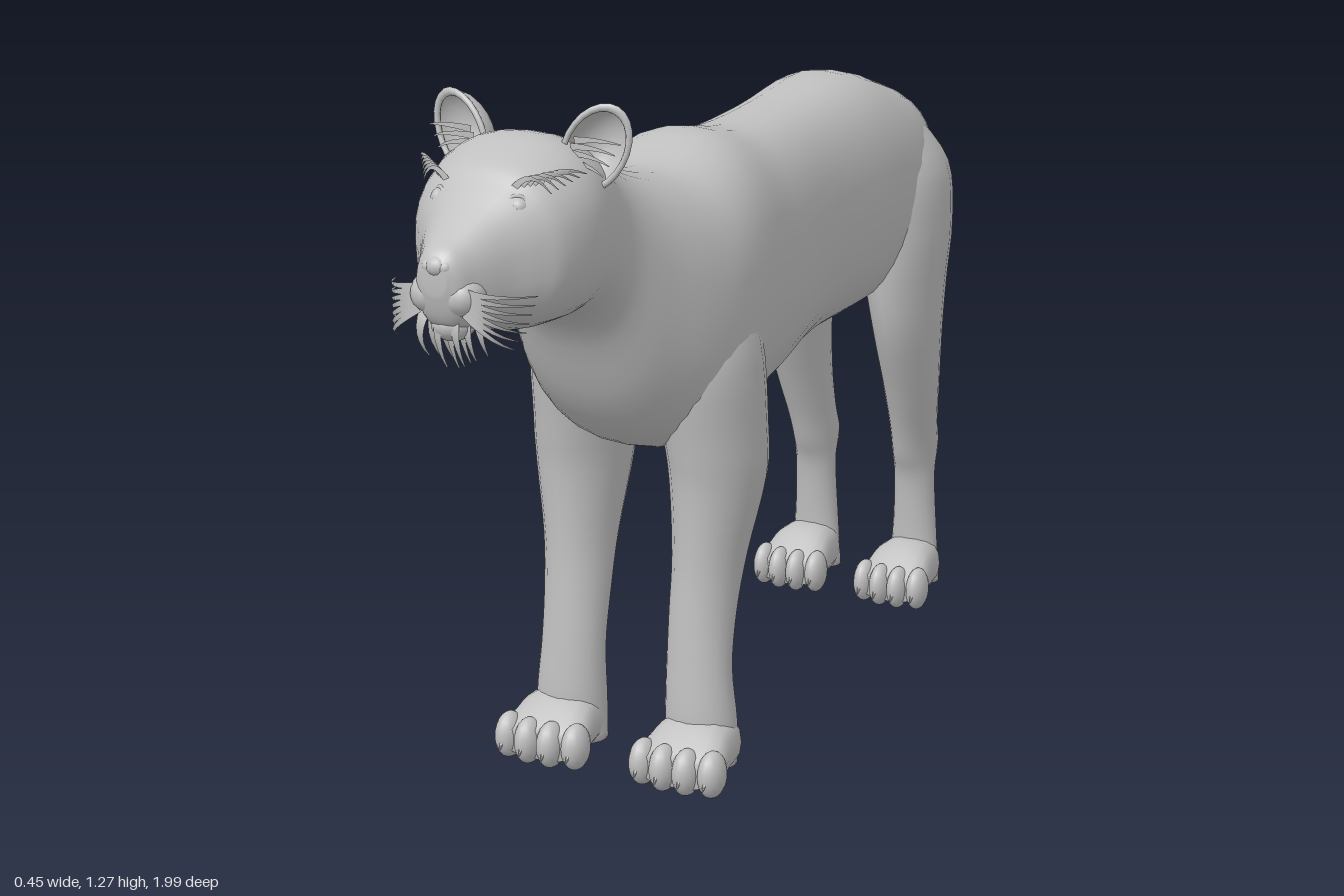
import * as THREE from 'three';

const fur = new THREE.MeshStandardMaterial({ color: 0xc0c0c0, side: THREE.DoubleSide });
fur.name = 'grey fur';

// Smoothly resample a table of section values
function resample(rows, steps) {
  const out = [];
  const at = i => rows[Math.min(rows.length - 1, Math.max(0, i))];
  for (let i = 0; i < rows.length - 1; i++) {
    for (let k = 0; k < steps; k++) {
      const t = k / steps;
      out.push(rows[i].map((b, c) => {
        const a = at(i - 1)[c], d = at(i + 1)[c], e = at(i + 2)[c];
        const m0 = (d - a) / 2, m1 = (e - b) / 2;
        return b + m0 * t + (3 * (d - b) - 2 * m0 - m1) * t * t + (2 * (b - d) + m0 + m1) * t * t * t;
      }));
    }
  }
  out.push(rows[rows.length - 1]);
  return out;
}

// Skin a list of closed rings and cap both ends
function loft(rings) {
  const n = rings[0].length, pos = [], idx = [];
  rings.forEach(r => r.forEach(p => pos.push(p.x, p.y, p.z)));
  for (let i = 0; i < rings.length - 1; i++) {
    for (let j = 0; j < n; j++) {
      const a = i * n + j, b = i * n + (j + 1) % n;
      idx.push(a, b, a + n, b, b + n, a + n);
    }
  }
  [0, rings.length - 1].forEach(i => {
    const c = rings[i].reduce((s, p) => s.add(p), new THREE.Vector3()).divideScalar(n);
    const ci = pos.length / 3;
    pos.push(c.x, c.y, c.z);
    for (let j = 0; j < n; j++) {
      const a = i * n + j, b = i * n + (j + 1) % n;
      if (i === 0) idx.push(ci, b, a); else idx.push(ci, a, b);
    }
  });
  const g = new THREE.BufferGeometry();
  g.setAttribute('position', new THREE.Float32BufferAttribute(pos, 3));
  g.setIndex(idx);
  g.computeVertexNormals();
  return g;
}

const ring = (n, f) => Array.from({ length: n }, (_, j) => f(Math.cos(j / n * Math.PI * 2), Math.sin(j / n * Math.PI * 2)));
const soft = (v, e) => Math.sign(v) * Math.abs(v) ** e;

// Upright slices along z: [z, top, bottom, half width, centre x]
const sliceLoft = (rows, steps, n, e) => loft(resample(rows, steps).map(([z, top, bot, w, x]) =>
  ring(n, (c, s) => new THREE.Vector3(x + w * soft(c, e), (top + bot) / 2 + (top - bot) / 2 * soft(s, e), z))));

// Level slices down a leg: [y, x, z, half width, half depth]
const legLoft = (rows, side) => loft(resample(rows, 4).map(([y, x, z, rx, rz]) =>
  ring(20, (c, s) => new THREE.Vector3(side * x + rx * c, y, z + rz * s))));

// Round tail following a path: [y, z, radius]
const tailLoft = rows => {
  const p = resample(rows, 5);
  return loft(p.map(([y, z, r], i) => {
    const a = p[Math.max(0, i - 1)], b = p[Math.min(p.length - 1, i + 1)];
    const t = new THREE.Vector3(0, b[0] - a[0], b[1] - a[1]).normalize();
    const nrm = t.cross(new THREE.Vector3(1, 0, 0));
    return ring(14, (c, s) => new THREE.Vector3(r * c, y + nrm.y * r * s, z + nrm.z * r * s));
  }));
};

// Flat tapering hair bent through three points
function blade(a, m, b, w) {
  const curve = new THREE.QuadraticBezierCurve3(new THREE.Vector3(...a), new THREE.Vector3(...m), new THREE.Vector3(...b));
  const pos = [], idx = [], n = 6;
  for (let i = 0; i <= n; i++) {
    const p = curve.getPoint(i / n), t = curve.getTangent(i / n);
    const up = new THREE.Vector3(-t.y, t.x, 0);
    if (up.length() < 0.01) up.set(1, 0, 0);
    up.setLength(w * (1 - 0.85 * i / n));
    pos.push(p.x + up.x, p.y + up.y, p.z, p.x - up.x, p.y - up.y, p.z);
    if (i < n) idx.push(2 * i, 2 * i + 1, 2 * i + 2, 2 * i + 1, 2 * i + 3, 2 * i + 2);
  }
  const g = new THREE.BufferGeometry();
  g.setAttribute('position', new THREE.Float32BufferAttribute(pos, 3));
  g.setIndex(idx);
  g.computeVertexNormals();
  return g;
}

export function createModel() {
  const model = new THREE.Group();
  model.name = 'bigCat';
  const add = (name, geo, parent = model) => {
    const m = new THREE.Mesh(geo, fur);
    m.name = name;
    parent.add(m);
    return m;
  };
  const ball = (name, p, r) => {
    const m = add(name, new THREE.SphereGeometry(1, 16, 12));
    m.position.set(...p);
    m.scale.set(...r);
    return m;
  };

  // Trunk, neck and head in one skin
  add('bodyAndHead', sliceLoft([
    [-0.80, 0.96, 0.90, 0.03, 0], [-0.77, 0.985, 0.82, 0.07, 0], [-0.70, 1.025, 0.72, 0.125, 0],
    [-0.58, 1.07, 0.66, 0.16, 0], [-0.43, 1.11, 0.64, 0.16, 0], [-0.20, 1.095, 0.635, 0.147, 0],
    [0, 1.09, 0.60, 0.165, 0], [0.16, 1.115, 0.585, 0.185, 0], [0.30, 1.085, 0.58, 0.20, 0],
    [0.40, 1.095, 0.61, 0.185, 0], [0.50, 1.125, 0.70, 0.15, 0], [0.58, 1.165, 0.85, 0.125, 0],
    [0.66, 1.208, 0.908, 0.14, 0], [0.74, 1.222, 0.915, 0.153, 0], [0.82, 1.197, 0.922, 0.138, 0],
    [0.86, 1.168, 0.933, 0.112, 0], [0.90, 1.138, 0.942, 0.082, 0], [0.95, 1.105, 0.95, 0.056, 0],
    [0.98, 1.088, 0.975, 0.04, 0], [0.995, 1.07, 1.02, 0.02, 0],
  ], 4, 32, 0.84));

  // Tail and its tuft
  add('tail', tailLoft([
    [0.94, -0.70, 0.075], [0.945, -0.77, 0.05], [0.90, -0.825, 0.034], [0.77, -0.865, 0.026],
    [0.58, -0.868, 0.024], [0.40, -0.843, 0.021], [0.27, -0.862, 0.018], [0.20, -0.915, 0.014],
  ]));
  add('tailTuft', tailLoft([
    [0.215, -0.895, 0.012], [0.195, -0.925, 0.032], [0.175, -0.955, 0.036], [0.16, -0.985, 0.016],
  ]));

  const foreRows = [
    [0.92, 0.09, 0.27, 0.06, 0.07], [0.78, 0.112, 0.295, 0.092, 0.125], [0.62, 0.128, 0.285, 0.085, 0.118],
    [0.53, 0.132, 0.282, 0.08, 0.108], [0.40, 0.128, 0.307, 0.064, 0.08], [0.30, 0.125, 0.33, 0.06, 0.062],
    [0.20, 0.126, 0.347, 0.06, 0.052], [0.10, 0.13, 0.348, 0.066, 0.057], [0.02, 0.13, 0.345, 0.066, 0.05],
  ];
  const hindRows = [
    [1.0, 0.07, -0.59, 0.05, 0.07], [0.90, 0.092, -0.605, 0.085, 0.135], [0.78, 0.105, -0.60, 0.083, 0.145],
    [0.67, 0.115, -0.59, 0.068, 0.13], [0.57, 0.12, -0.592, 0.058, 0.11], [0.45, 0.118, -0.62, 0.049, 0.085],
    [0.36, 0.113, -0.647, 0.042, 0.073], [0.30, 0.11, -0.665, 0.041, 0.07], [0.24, 0.11, -0.663, 0.04, 0.045],
    [0.12, 0.11, -0.668, 0.046, 0.038], [0.02, 0.11, -0.665, 0.055, 0.036],
  ];

  for (const s of [1, -1]) {
    const side = s > 0 ? 'left' : 'right';

    // Legs, paws, toes and claws
    [['Front', foreRows, 0.135, 0.29, 0.082], ['Hind', hindRows, 0.112, -0.705, 0.07]].forEach(([kind, rows, x, z, w]) => {
      add(side + kind + 'Leg', legLoft(rows, s));
      add(side + kind + 'Paw', sliceLoft([
        [z, 0.08, 0.02, w * 0.5, s * x], [z + 0.04, 0.11, 0.008, w * 0.8, s * x],
        [z + 0.10, 0.115, 0.006, w * 0.92, s * x], [z + 0.15, 0.09, 0.006, w, s * x],
        [z + 0.18, 0.07, 0.015, w * 0.85, s * x],
      ], 3, 18, 0.8));
      for (let i = 0; i < 4; i++) {
        const u = (i - 1.5) / 1.5, tx = s * x + u * w * 0.82, tz = z + 0.175 - Math.abs(u) * 0.015;
        ball(side + kind + 'Toe', [tx, 0.045, tz], [w * 0.3, 0.043, 0.034]);
        const claw = add(side + kind + 'Claw', new THREE.ConeGeometry(0.009, 0.045, 8));
        claw.position.set(tx, 0.04, tz + 0.028);
        claw.rotation.x = 2.5;
      }
    });

    // Cupped ear with hair inside
    const ear = new THREE.Group();
    ear.name = side + 'Ear';
    ear.position.set(s * 0.122, 1.20, 0.70);
    ear.rotation.set(0, s * 0.25, -s * 0.5);
    model.add(ear);
    add('earShell', new THREE.SphereGeometry(1, 20, 10, 0, Math.PI * 2, 0, Math.PI / 2)
      .rotateX(-Math.PI / 2).scale(0.05, 0.075, 0.055), ear);
    const rim = add('earRim', new THREE.TorusGeometry(0.049, 0.005, 8, 24), ear);
    rim.scale.y = 1.48;
    for (let i = 0; i < 5; i++) {
      add('earHair', blade([-s * 0.035, -0.05 + i * 0.012, 0.01], [0, -0.03 + i * 0.014, 0.03],
        [s * 0.035, -0.045 + i * 0.02, 0.025], 0.006), ear);
    }

    // Eye with lids and brow hairs
    ball(side + 'Eye', [s * 0.07, 1.135, 0.853], [0.017, 0.016, 0.017]);
    const lid = add(side + 'EyeLid', new THREE.TorusGeometry(0.018, 0.004, 8, 20));
    lid.position.set(s * 0.071, 1.135, 0.86);
    lid.rotation.set(-0.35, s * 0.55, 0);
    for (let i = 0; i < 6; i++) {
      add(side + 'BrowHair', blade([s * (0.06 + i * 0.008), 1.163 + i * 0.002, 0.85 - i * 0.006],
        [s * (0.09 + i * 0.007), 1.20, 0.85 - i * 0.006],
        [s * (0.115 + i * 0.007), 1.155 + i * 0.005, 0.83 - i * 0.01], 0.006));
    }

    // Muzzle pad, nostril wing and whiskers
    ball(side + 'MuzzlePad', [s * 0.027, 1.012, 0.953], [0.036, 0.034, 0.038]);
    ball(side + 'NoseWing', [s * 0.014, 1.062, 0.978], [0.014, 0.014, 0.018]);
    for (let i = 0; i < 7; i++) {
      add(side + 'Whisker', blade([s * 0.04, 1.025 - i * 0.006, 0.975], [s * 0.10, 1.02 - i * 0.012, 0.99],
        [s * (0.128 - i * 0.003), 1.01 - i * 0.014, 0.90 + i * 0.004], 0.006));
    }
  }

  // Nose, chin and beard
  ball('nose', [0, 1.063, 0.98], [0.02, 0.018, 0.02]);
  ball('chin', [0, 0.962, 0.94], [0.036, 0.028, 0.036]);
  for (let i = 0; i < 9; i++) {
    const u = (i - 4) / 4, back = (i % 3) * 0.018;
    add('beardHair', blade([u * 0.035, 0.985, 0.965 - back], [u * 0.048, 0.945, 0.985 - back],
      [u * 0.042, 0.885 + Math.abs(u) * 0.02, 0.945 - back], 0.01));
  }
  return model;
}
